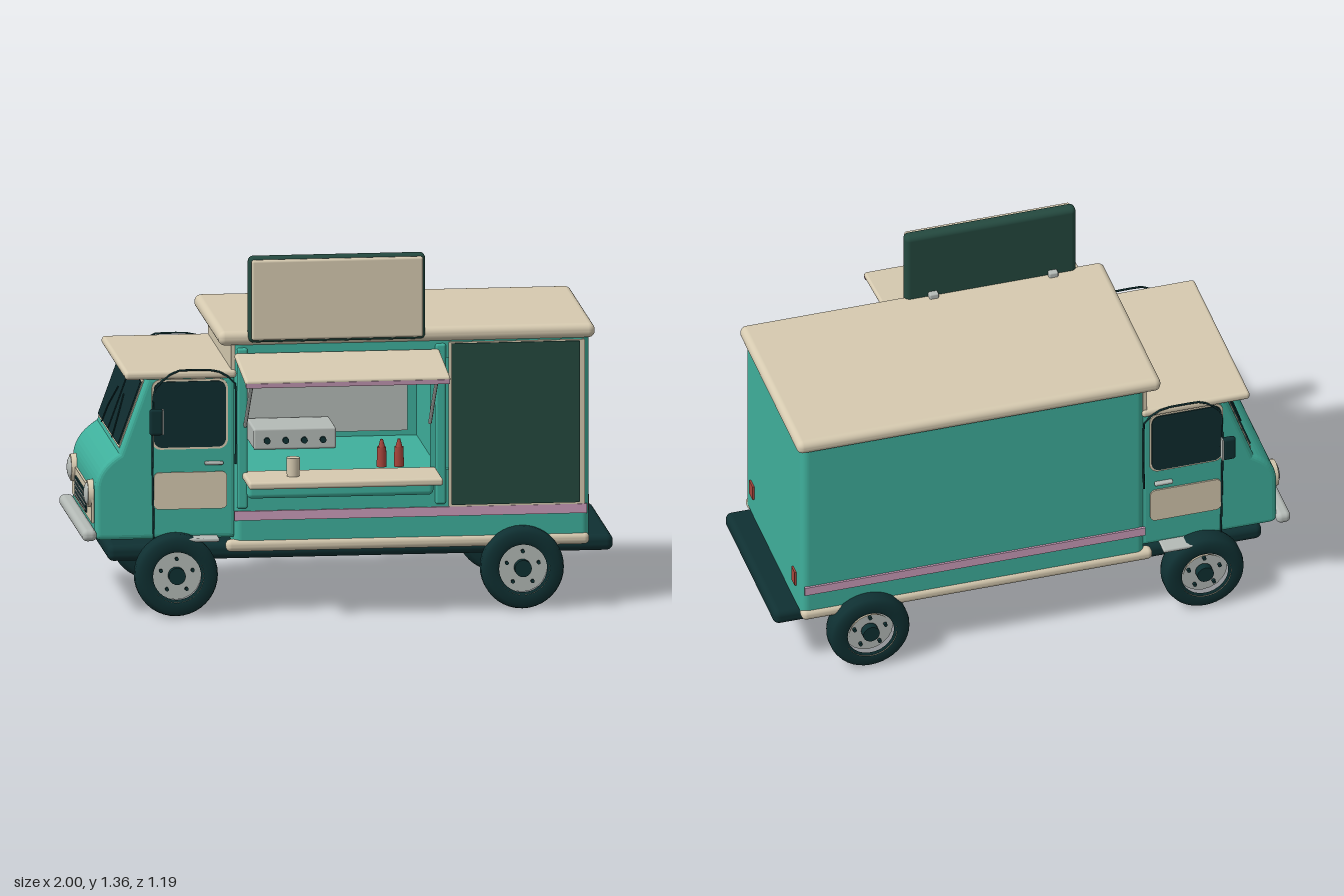
import * as THREE from 'three';
import { RoundedBoxGeometry } from 'three/addons/geometries/RoundedBoxGeometry.js';

const mat = (name, color) => Object.assign(new THREE.MeshStandardMaterial({ color }), { name });

export function createModel() {
  const teal = mat('teal paint', 0x3fb09c);
  const cream = mat('cream paint', 0xd6cab0);
  const dark = mat('dark rubber', 0x0f3032);
  const board = mat('dark green board', 0x24493f);
  const glass = mat('dark glass', 0x0f2c2f);
  const grey = mat('light metal', 0xb4bab6);
  const pink = mat('pink trim', 0xcb9dba);
  const red = mat('red', 0xa8463c);

  const model = new THREE.Group();
  model.name = 'foodTruck';
  // Everything is built symmetric about the truck's centre line, then shifted
  const truck = new THREE.Group();
  truck.name = 'truck';
  truck.position.z = -0.137;
  model.add(truck);

  const add = (name, geo, m, x = 0, y = 0, z = 0, parent = truck) => {
    const mesh = new THREE.Mesh(geo, m);
    mesh.name = name;
    mesh.position.set(x, y, z);
    parent.add(mesh);
    return mesh;
  };
  // Box from its limits, rounded when r > 0
  const box = (name, m, x0, x1, y0, y1, z0, z1, r = 0, parent = truck) => {
    const w = x1 - x0, h = y1 - y0, d = z1 - z0;
    const geo = r ? new RoundedBoxGeometry(w, h, d, 4, r) : new THREE.BoxGeometry(w, h, d);
    return add(name, geo, m, (x0 + x1) / 2, (y0 + y1) / 2, (z0 + z1) / 2, parent);
  };
  const roundRect = (x0, x1, y0, y1, r) => {
    const s = new THREE.Shape();
    s.absarc(x1 - r, y0 + r, r, -Math.PI / 2, 0);
    s.absarc(x1 - r, y1 - r, r, 0, Math.PI / 2);
    s.absarc(x0 + r, y1 - r, r, Math.PI / 2, Math.PI);
    s.absarc(x0 + r, y0 + r, r, Math.PI, Math.PI * 1.5);
    s.closePath();
    return s;
  };
  // Thin rounded plate facing sideways, centred on z
  const plate = (name, m, x0, x1, y0, y1, z, r, t = 0.008) =>
    add(name, new THREE.ExtrudeGeometry(roundRect(x0, x1, y0, y1, r), { depth: t, bevelEnabled: false, curveSegments: 8 }), m, 0, 0, z - t / 2);
  const tube = (name, m, pts, r, parent = truck) =>
    add(name, new THREE.TubeGeometry(new THREE.CatmullRomCurve3(pts.map(p => new THREE.Vector3(...p)), false, 'catmullrom', 0.2), 32, r, 6), m, 0, 0, 0, parent);

  // Kitchen body: plan outlines extruded upwards, the middle band open to the side
  const band = (name, shape, y0, y1) => {
    const geo = new THREE.ExtrudeGeometry(shape, { depth: y1 - y0, bevelEnabled: false, curveSegments: 8 });
    geo.rotateX(-Math.PI / 2);
    add(name, geo, teal, 0, y0, 0);
  };
  const X0 = -0.43, X1 = 0.905, W = 0.37, R = 0.03;
  const plan = () => roundRect(X0, X1, -W, W, R);
  band('lowerBody', plan(), 0.265, 0.53);
  band('upperBody', plan(), 0.955, 1.03);
  const open = new THREE.Shape();
  open.moveTo(0.31, -W);
  open.absarc(X1 - R, -W + R, R, -Math.PI / 2, 0);
  open.absarc(X1 - R, W - R, R, 0, Math.PI / 2);
  open.absarc(X0 + R, W - R, R, Math.PI / 2, Math.PI);
  open.absarc(X0 + R, -W + R, R, Math.PI, Math.PI * 1.5);
  [[-0.39, -W], [-0.39, 0.33], [0.34, 0.33], [0.34, -0.34], [0.31, -0.34]].forEach(p => open.lineTo(...p));
  open.closePath();
  band('windowBody', open, 0.53, 0.955);
  box('bodyRoof', cream, -0.49, 0.925, 1.02, 1.075, -0.39, 0.39, 0.025);
  box('bodyFrontPanel', cream, -0.44, -0.425, 0.9, 1.03, -0.36, 0.36);
  box('interiorSidePanel', cream, -0.392, -0.384, 0.53, 0.955, -0.32, 0.33);
  for (const x of [-0.4, 0.345]) box('windowPost', teal, x - 0.02, x + 0.02, 0.4, 1.01, 0.36, 0.383, 0.01);

  for (const s of [-1, 1]) {
    box('sill', cream, -0.46, 0.905, 0.235, 0.28, s * 0.355 - 0.025, s * 0.355 + 0.025, 0.02);
    box('sideStripe', pink, -0.43, 0.895, 0.355, 0.39, s * 0.373 - 0.005, s * 0.373 + 0.005);
    box('tailLight', red, 0.9, 0.912, 0.35, 0.41, s * 0.277 - 0.022, s * 0.277 + 0.022);
  }
  plate('boardFrame', cream, 0.375, 0.888, 0.39, 1.015, 0.372, 0.005);
  plate('menuBoard', board, 0.385, 0.868, 0.397, 1.01, 0.378, 0.005);

  // Chassis and bumpers
  box('chassis', dark, -0.9, 1, 0.2, 0.262, -0.33, 0.33, 0.025);
  box('frontBumper', grey, -1, -0.945, 0.285, 0.33, -0.37, 0.37, 0.02);
  for (const s of [-1, 1]) box('bumperBracket', grey, -0.96, -0.9, 0.295, 0.32, s * 0.2 - 0.02, s * 0.2 + 0.02);

  // Cab: side profile extruded across with softened edges
  const cab = new THREE.Shape();
  cab.moveTo(-0.42, 0.285);
  cab.lineTo(-0.42, 0.905);
  cab.lineTo(-0.755, 0.905);
  cab.lineTo(-0.86, 0.615);
  cab.quadraticCurveTo(-0.95, 0.56, -0.95, 0.48);
  cab.lineTo(-0.95, 0.31);
  cab.quadraticCurveTo(-0.95, 0.285, -0.92, 0.285);
  cab.closePath();
  add('cab', new THREE.ExtrudeGeometry(cab, { depth: 0.664, bevelThickness: 0.02, bevelSize: 0.02, bevelOffset: -0.02, bevelSegments: 4, curveSegments: 10 }), teal, 0, 0, -0.332);
  box('cabRoof', cream, -0.84, -0.42, 0.895, 0.927, -0.37, 0.37, 0.014);

  // Sloping windscreen with two panes and wipers
  const screen = new THREE.Group();
  screen.name = 'windscreen';
  screen.position.set(-0.8075, 0.757, 0);
  screen.rotation.z = -Math.atan(0.105 / 0.29);
  truck.add(screen);
  box('screenFrame', cream, -0.005, 0.003, -0.135, 0.135, -0.32, 0.32, 0, screen);
  for (const s of [-1, 1]) {
    box('windscreenPane', glass, -0.011, -0.003, -0.125, 0.125, s * 0.159 - 0.15, s * 0.159 + 0.15, 0, screen);
    tube('wiper', dark, [[-0.014, -0.13, s * 0.16], [-0.016, -0.06, s * 0.14], [-0.014, 0.03, s * 0.08]], 0.003, screen);
  }

  // Nose: cream panel, slatted grille and headlights
  box('grillePanel', cream, -0.958, -0.945, 0.345, 0.46, -0.31, 0.31);
  box('grille', dark, -0.964, -0.955, 0.36, 0.435, -0.17, 0.17);
  for (let i = 0; i < 4; i++) box('grilleSlat', grey, -0.968, -0.962, 0.368 + i * 0.018, 0.372 + i * 0.018, -0.165, 0.165);
  for (const s of [-1, 1]) {
    const ring = add('headlightRing', new THREE.CylinderGeometry(0.05, 0.055, 0.03, 28), cream, -0.955, 0.45, s * 0.26);
    const lamp = add('headlight', new THREE.SphereGeometry(0.042, 24, 12), grey, -0.968, 0.45, s * 0.26);
    ring.rotation.z = Math.PI / 2;
    lamp.scale.x = 0.35;
  }

  // Doors, mirrors and steps on both sides
  for (const s of [-1, 1]) {
    plate('doorWindowFrame', cream, -0.738, -0.452, 0.627, 0.893, s * 0.353, 0.035);
    plate('doorWindow', glass, -0.73, -0.46, 0.635, 0.885, s * 0.357, 0.03);
    plate('doorPanel', cream, -0.73, -0.455, 0.4, 0.54, s * 0.354, 0.02);
    box('doorHandle', grey, -0.54, -0.47, 0.567, 0.58, s * 0.362 - 0.01, s * 0.362 + 0.01, 0.005);
    tube('doorSeal', dark, [[-0.73, 0.29, s * 0.353], [-0.735, 0.6, s * 0.355], [-0.73, 0.85, s * 0.358], [-0.65, 0.927, s * 0.372],
      [-0.5, 0.927, s * 0.372], [-0.425, 0.87, s * 0.372], [-0.425, 0.57, s * 0.372]], 0.004);
    tube('mirrorArm', dark, [[-0.73, 0.69, s * 0.35], [-0.73, 0.705, s * 0.4], [-0.73, 0.72, s * 0.445]], 0.006);
    box('mirrorHousing', dark, -0.758, -0.708, 0.7, 0.8, s * 0.449 - 0.012, s * 0.449 + 0.012, 0.011);
    box('mirrorGlass', grey, -0.71, -0.704, 0.703, 0.797, s * 0.449 - 0.011, s * 0.449 + 0.011);
    box('cabStep', grey, -0.69, -0.49, 0.283, 0.298, s * 0.37 - 0.045, s * 0.37 + 0.045, 0.006);
  }

  // Wheels: lathed tyre and rim, hub and bolts
  const lathe = pts => new THREE.LatheGeometry(pts.map(p => new THREE.Vector2(...p)), 40).rotateX(Math.PI / 2);
  const tyre = lathe([[0.09, -0.04], [0.105, -0.048], [0.135, -0.046], [0.151, -0.036], [0.156, -0.018],
    [0.156, 0.018], [0.151, 0.036], [0.135, 0.046], [0.105, 0.048], [0.09, 0.04]]);
  const rim = lathe([[0, 0.03], [0.045, 0.032], [0.055, 0.026], [0.08, 0.028], [0.085, 0.043], [0.1, 0.049], [0.1, 0.03]]);
  const disc = (r, t) => new THREE.CylinderGeometry(r, r, t, 20).rotateX(Math.PI / 2);
  for (const x of [-0.65, 0.65]) for (const s of [-1, 1]) {
    const wheel = new THREE.Group();
    wheel.name = 'wheel';
    wheel.position.set(x, 0.157, s * 0.375);
    if (s < 0) wheel.rotation.y = Math.PI;
    truck.add(wheel);
    add('tyre', tyre, dark, 0, 0, 0, wheel);
    add('rim', rim, cream, 0, 0, 0, wheel);
    add('innerDisc', disc(0.094, 0.05), grey, 0, 0, -0.012, wheel);
    add('hub', disc(0.032, 0.03), dark, 0, 0, 0.035, wheel);
    for (let i = 0; i < 5; i++) {
      const a = i * Math.PI * 0.4 + Math.PI / 2;
      add('wheelBolt', disc(0.007, 0.012), dark, Math.cos(a) * 0.063, Math.sin(a) * 0.063, 0.03, wheel);
    }
  }

  // Awning with pink lip and struts
  const awning = new THREE.Group();
  awning.name = 'awning';
  awning.position.set(-0.045, 0.98, 0.375);
  awning.rotation.x = 0.115;
  truck.add(awning);
  box('awningPanel', cream, -0.385, 0.385, -0.012, 0.012, 0, 0.354, 0.01, awning);
  box('awningLip', pink, -0.383, 0.383, -0.016, 0.001, 0.34, 0.356, 0, awning);
  for (const x of [-0.39, 0.305]) tube('awningStrut', grey, [[x, 0.71, 0.375], [x, 0.82, 0.49], [x, 0.935, 0.615]], 0.007);
  box('awningLamp', grey, -0.08, -0.01, 0.943, 0.957, 0.46, 0.5, 0.006);

  // Serving counter
  box('counter', cream, -0.4, 0.33, 0.51, 0.538, 0.345, 0.587, 0.01);
  box('counterTrough', teal, -0.39, 0.31, 0.45, 0.512, 0.405, 0.455, 0.018);
  add('cup', new THREE.CylinderGeometry(0.026, 0.024, 0.07, 24), cream, -0.22, 0.573, 0.467);

  // Kitchen equipment
  box('backsplash', grey, -0.31, 0.305, 0.55, 0.78, -0.332, -0.322);
  box('griddle', grey, -0.3, 0.01, 0.53, 0.61, -0.32, -0.1, 0.008);
  for (let i = 0; i < 4; i++) add('griddleKnob', disc(0.012, 0.016), dark, -0.25 + i * 0.07, 0.565, -0.095);
  for (const x of [0.13, 0.195]) {
    add('sauceBottle', new THREE.CylinderGeometry(0.017, 0.019, 0.075, 16), red, x, 0.575, 0.32);
    add('bottleNozzle', new THREE.CylinderGeometry(0.005, 0.013, 0.03, 16), red, x, 0.627, 0.32);
  }

  // Roof sign
  box('signCase', board, -0.38, 0.285, 1.033, 1.36, 0.357, 0.407, 0.02);
  box('signFace', cream, -0.37, 0.275, 1.045, 1.35, 0.4, 0.422, 0.01);
  for (const x of [-0.285, 0.18]) box('signBracket', grey, x - 0.018, x + 0.018, 1.07, 1.095, 0.335, 0.365, 0.006);

  return model;
}
